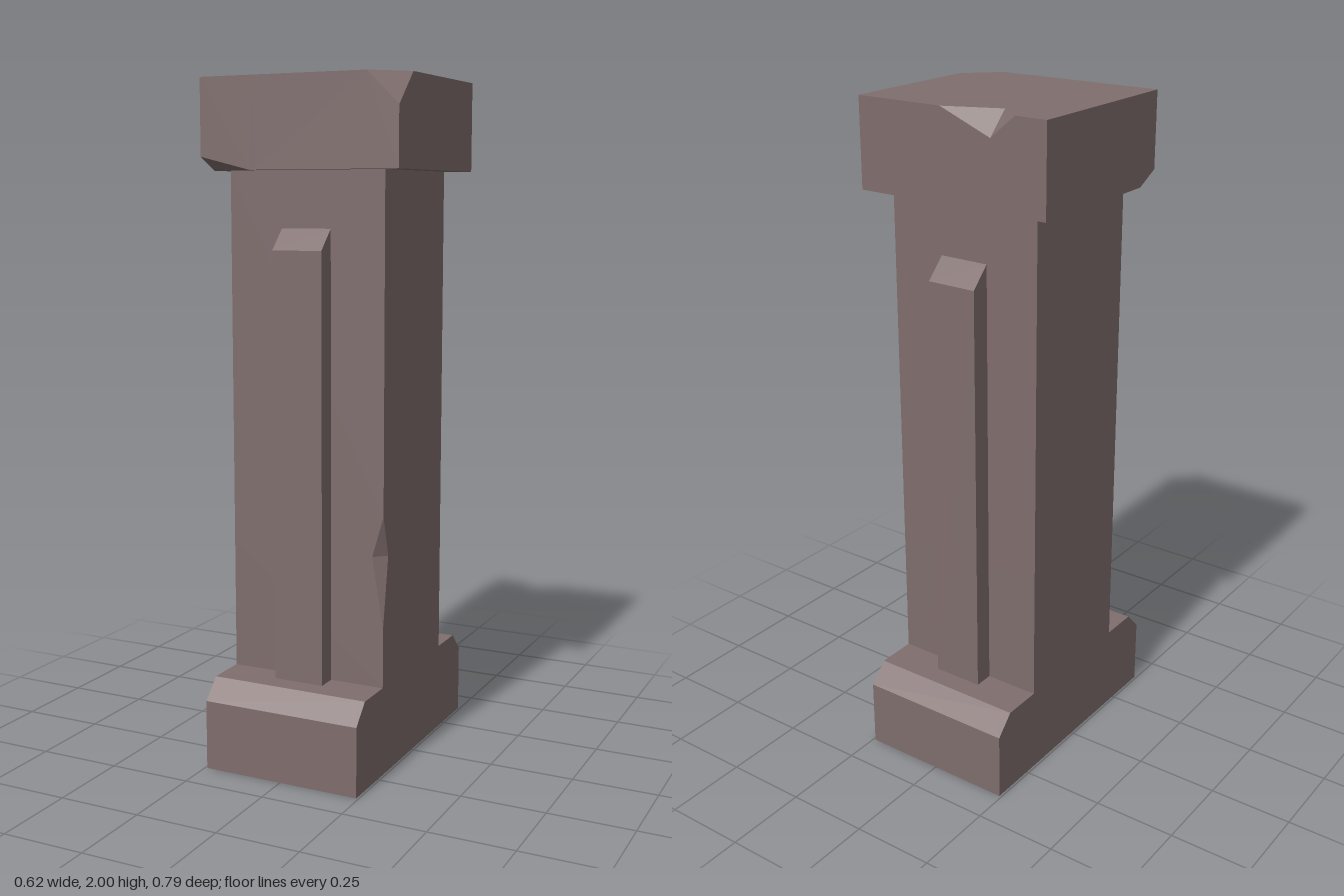
import * as THREE from 'three';
import { ConvexGeometry } from 'three/addons/geometries/ConvexGeometry.js';

const stone = new THREE.MeshStandardMaterial({ color: 0x7f6e6d });
stone.name = 'stone';

function part(name, geometry, parent) {
  const mesh = new THREE.Mesh(geometry, stone);
  mesh.name = name;
  parent.add(mesh);
  return mesh;
}

// Box between two corners; each chip cuts off one corner by a length along each edge.
function chippedBlock(min, max, chips = []) {
  const points = [];
  for (const sx of [-1, 1]) for (const sy of [-1, 1]) for (const sz of [-1, 1]) {
    const sign = [sx, sy, sz];
    const corner = sign.map((s, i) => (s > 0 ? max[i] : min[i]));
    const chip = chips.find((c) => c.corner.every((s, i) => s === sign[i]));
    if (!chip) {
      points.push(new THREE.Vector3(...corner));
      continue;
    }
    for (let axis = 0; axis < 3; axis++) {
      const p = [...corner];
      p[axis] -= sign[axis] * chip.cut[axis];
      points.push(new THREE.Vector3(...p));
    }
  }
  return new ConvexGeometry(points);
}

// Side profile given as [z, y] pairs, extruded across x.
function sideProfile(points, width) {
  const shape = new THREE.Shape(points.map(([z, y]) => new THREE.Vector2(z, y)));
  const geometry = new THREE.ExtrudeGeometry(shape, { depth: width, bevelEnabled: false });
  return geometry.rotateY(-Math.PI / 2).translate(width / 2, 0, 0);
}

export function createModel() {
  const model = new THREE.Group();
  model.name = 'stonePillar';

  // Base with sloped front and back edges
  part('base', sideProfile([
    [-0.393, 0], [0.393, 0], [0.393, 0.207], [0.337, 0.265], [-0.337, 0.265], [-0.393, 0.207],
  ], 0.486), model);

  // Shaft in two blocks that meet at the deepest line of the edge notch
  const shaft = new THREE.Group();
  shaft.name = 'shaft';
  model.add(shaft);
  part('lowerShaft', chippedBlock([-0.243, 0.265, -0.215], [0.243, 0.65, 0.215],
    [{ corner: [1, 1, 1], cut: [0.035, 0.21, 0.034] }]), shaft);
  part('upperShaft', chippedBlock([-0.243, 0.65, -0.215], [0.243, 1.74, 0.215],
    [{ corner: [1, -1, 1], cut: [0.035, 0.12, 0.034] }]), shaft);

  // Raised ribs with sloped tops, front and back
  const ribGeometry = sideProfile([[0.215, 0.265], [0.274, 0.265], [0.274, 1.517], [0.215, 1.577]], 0.154);
  part('frontRib', ribGeometry, model);
  part('backRib', ribGeometry, model).rotation.y = Math.PI;

  // Cap in two blocks that meet at the deepest line of the back notch
  const cap = new THREE.Group();
  cap.name = 'cap';
  model.add(cap);
  const split = -0.133;
  part('rightCap', chippedBlock([-0.308, 1.74, -0.272], [split, 2, 0.272], [
    { corner: [1, 1, -1], cut: [0.077, 0.065, 0.066] },
    { corner: [-1, -1, 1], cut: [0.158, 0.038, 0.075] },
  ]), cap);
  part('leftCap', chippedBlock([split, 1.74, -0.272], [0.308, 2, 0.272], [
    { corner: [-1, 1, -1], cut: [0.163, 0.065, 0.066] },
    { corner: [1, 1, 1], cut: [0.095, 0.093, 0.095] },
  ]), cap);

  return model;
}
